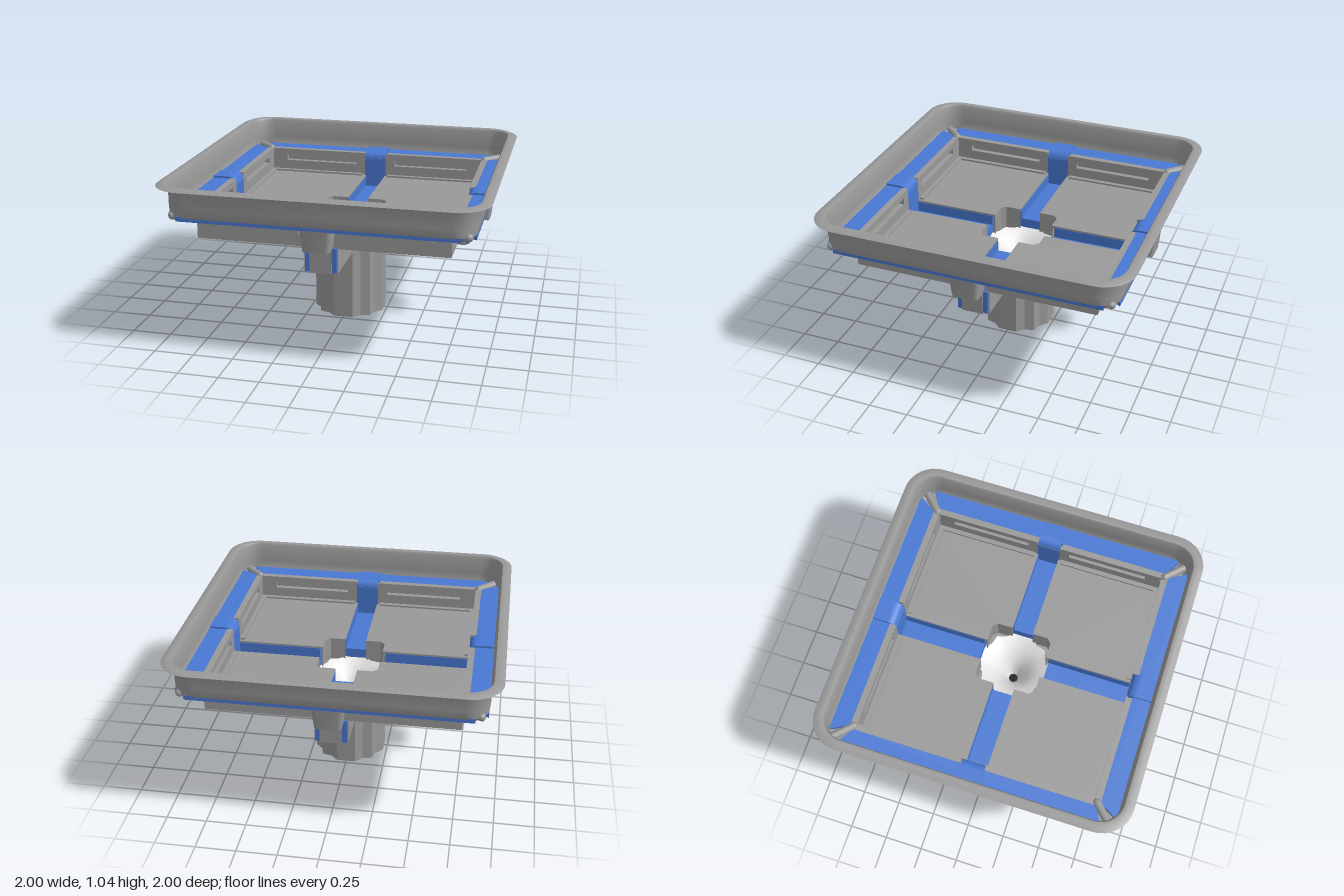
import * as THREE from 'three';
import { toCreasedNormals } from 'three/addons/utils/BufferGeometryUtils.js';

const mat = (name, color) => {
  const m = new THREE.MeshStandardMaterial({ color, side: THREE.DoubleSide });
  m.name = name;
  return m;
};

// Rounded square outline as [x, z] points
function roundedSquare(half, r) {
  const pts = [];
  for (let c = 0; c < 4; c++) {
    const a0 = c * Math.PI / 2;
    const cx = (half - r) * (c === 0 || c === 3 ? 1 : -1);
    const cz = (half - r) * (c < 2 ? 1 : -1);
    for (let i = 0; i <= 8; i++) {
      const a = a0 + i / 8 * Math.PI / 2;
      pts.push([cx + r * Math.cos(a), cz + r * Math.sin(a)]);
    }
  }
  return pts;
}

// Twelve-sided fluted outline: flat toward each channel, hollow in between
function fluted(r, hollow = 0.9) {
  const pts = [];
  for (let i = 0; i < 12; i++) {
    const a = (i + 0.5) * Math.PI / 6, mid = a + Math.PI / 12;
    pts.push([r * Math.cos(a), r * Math.sin(a)]);
    const k = (i + 1) % 3 === 0 ? Math.cos(Math.PI / 12) : hollow;
    pts.push([r * k * Math.cos(mid), r * k * Math.sin(mid)]);
  }
  return pts;
}

// Skin through a stack of closed outlines: [{ pts, y }]
function loft(rings, crease = 0.6) {
  const n = rings[0].pts.length, pos = [], idx = [];
  for (const { pts, y } of rings) for (const [x, z] of pts) pos.push(x, y, z);
  for (let j = 0; j < rings.length - 1; j++) for (let i = 0; i < n; i++) {
    const a = j * n + i, b = j * n + (i + 1) % n;
    idx.push(a, b, a + n, b, b + n, a + n);
  }
  const g = new THREE.BufferGeometry();
  g.setAttribute('position', new THREE.Float32BufferAttribute(pos, 3));
  g.setIndex(idx);
  return toCreasedNormals(g, crease);
}

const shapeOf = pts => new THREE.Shape(pts.map(p => new THREE.Vector2(p[0], p[1])));
const extrude = (shape, depth) => new THREE.ExtrudeGeometry(shape, { depth, bevelEnabled: false, curveSegments: 10 });
// Horizontal slab from an [x, z] outline, hanging down from yTop
const slab = (pts, yTop, depth) => extrude(shapeOf(pts), depth).rotateX(Math.PI / 2).translate(0, yTop, 0);
const rect = (x0, y0, x1, y1) => [[x0, y0], [x1, y0], [x1, y1], [x0, y1]];
const box = (x0, y0, z0, x1, y1, z1) => new THREE.BoxGeometry(x1 - x0, y1 - y0, z1 - z0)
  .translate((x0 + x1) / 2, (y0 + y1) / 2, (z0 + z1) / 2);

export function createModel() {
  const root = new THREE.Group();
  const gray = mat('gray shell', 0x999999);
  const blue = mat('blue channel', 0x4878d2);
  const white = mat('pale funnel', 0xe4e4e4);
  const black = mat('black opening', 0x060606);
  const add = (parent, name, geo, m) => {
    const mesh = new THREE.Mesh(geo, m);
    mesh.name = name;
    parent.add(mesh);
    return mesh;
  };

  // Tray rim, outer wall and ledge
  const profile = [[1, 1.022, 0.2], [0.965, 1.037, 0.17], [0.94, 1.033, 0.15], [0.93, 1.015, 0.14],
    [0.93, 0.9, 0.14], [0.925, 0.845, 0.13], [0.905, 0.82, 0.11], [0.765, 0.82, 0.02]];
  add(root, 'trayWall', loft(profile.map(([h, y, r]) => ({ pts: roundedSquare(h, r), y }))), gray);

  // Central drain column, collar and funnel
  add(root, 'drainColumn', loft([{ pts: fluted(0.235), y: 0 }, { pts: fluted(0.235), y: 0.55 }], 0.2), gray);
  add(root, 'drainBottom', slab(fluted(0.23), 0.008, 0.005), black);
  const collar = shapeOf(fluted(0.285, 0.93));
  collar.holes.push(new THREE.Path(fluted(0.225).map(p => new THREE.Vector2(p[0], p[1]))));
  add(root, 'drainCollar', extrude(collar, 0.015).rotateX(Math.PI / 2).translate(0, 0.53, 0), gray);
  const funnel = [[0.235, 0.55, 0.9], [0.17, 0.52, 0.94], [0.1, 0.46, 0.97], [0.055, 0.38, 0.98], [0.028, 0.3, 0.98]];
  add(root, 'drainFunnel', loft(funnel.map(([r, y, k]) => ({ pts: fluted(r, k), y })), 1), white);
  add(root, 'drainHole', new THREE.CircleGeometry(0.03, 16).rotateX(-Math.PI / 2).translate(0, 0.305, 0), black);

  // Four identical sectors, each with a channel along +z and a basin toward +x +z
  for (let k = 0; k < 4; k++) {
    const sector = new THREE.Group();
    sector.name = 'sector' + (k + 1);
    sector.rotation.y = k * Math.PI / 2;
    root.add(sector);

    // Channel on the ledge
    add(sector, 'ledgeChannel', slab([[-0.85, 0.923], [0.85, 0.923], [0.78, 0.805], [-0.78, 0.805]], 0.85, 0.028), blue);

    // Curved spill from ledge down to the cross channel
    const s = new THREE.Shape();
    s.moveTo(0.922, 0.825);
    s.lineTo(0.922, 0.862);
    s.lineTo(0.83, 0.862);
    s.quadraticCurveTo(0.765, 0.862, 0.765, 0.8);
    s.lineTo(0.765, 0.6);
    s.lineTo(0.785, 0.6);
    s.lineTo(0.785, 0.825);
    add(sector, 'channelSpill', extrude(s, 0.15).rotateY(-Math.PI / 2).translate(0.075, 0, 0), blue);

    // Cross channel with U section, and its gray jacket
    const u = shapeOf([[-0.097, 0.525], [0.097, 0.525], [0.097, 0.678], [0.068, 0.678],
      [0.068, 0.61], [-0.068, 0.61], [-0.068, 0.678], [-0.097, 0.678]]);
    add(sector, 'crossChannel', extrude(u, 0.57).translate(0, 0, 0.22), blue);
    add(sector, 'channelUnderside', box(-0.1, 0.52, 0.2, 0.1, 0.525, 0.78), gray);
    add(sector, 'channelEndPlate', box(-0.068, 0.52, 0.785, 0.068, 0.69, 0.796), gray);
    add(sector, 'spillHousing', loft([0.69, 0.75, 0.825].map((y, i) => ({
      y, pts: roundedSquare(0.075 + i * 0.006, 0.025).map(([x, z]) => [x * 1.08, 0.853 + z * 0.84])
    }))), gray);
    add(sector, 'spillHousingBottom', box(-0.075, 0.688, 0.795, 0.075, 0.695, 0.912), gray);

    for (const side of [-1, 1]) {
      add(sector, 'channelJacket', box(side * 0.1 - 0.003, 0.52, 0.2, side * 0.1 + 0.003, 0.688, 0.775), gray);

      // Basin wall with a long recess
      const [a, b] = side > 0 ? [0.075, 0.77] : [-0.77, -0.075];
      const [c, d] = side > 0 ? [0.13, 0.67] : [-0.67, -0.13];
      const hole = () => new THREE.Path(rect(c + 0.01, 0.767, d - 0.01, 0.808).map(p => new THREE.Vector2(...p)));
      const wall = shapeOf(rect(a, 0.675, b, 0.848));
      wall.holes.push(hole());
      add(sector, 'basinWall', extrude(wall, 0.01).translate(0, 0, 0.765), gray);
      const frame = shapeOf(rect(c, 0.757, d, 0.819));
      frame.holes.push(hole());
      add(sector, 'recessFrame', extrude(frame, 0.03).translate(0, 0, 0.772), gray);
      add(sector, 'recessBack', box(c, 0.757, 0.8, d, 0.819, 0.807), gray);
      // Rail between basin and ledge channel
      add(sector, 'basinRail', box(a, 0.82, 0.765, b + side * 0.01, 0.852, 0.805), gray);
    }

    // Basin floor, notched around the drain
    add(sector, 'basinFloor', slab([[0.07, 0.77], [0.77, 0.77], [0.77, 0.07], [0.2, 0.07],
      [0.2, 0.17], [0.17, 0.2], [0.07, 0.2]], 0.69, 0.015), gray);
    // Raised foot of the basin walls
    add(sector, 'basinFoot', slab([[0.09, 0.768], [0.768, 0.768], [0.768, 0.09], [0.735, 0.09],
      [0.735, 0.735], [0.09, 0.735]], 0.702, 0.014), gray);
    // Drain well corner
    add(sector, 'drainWell', slab([[0.2, 0.07], [0.2, 0.17], [0.17, 0.2], [0.07, 0.2],
      [0.07, 0.207], [0.173, 0.207], [0.207, 0.173], [0.207, 0.07]], 0.688, 0.168), gray);
    // Diagonal corner rib
    const rib = add(sector, 'cornerRib', new THREE.CapsuleGeometry(0.026, 0.14, 4, 10).rotateX(Math.PI / 2), gray);
    rib.position.set(0.833, 0.845, 0.833);
    rib.rotation.y = Math.PI / 4;
  }
  return root;
}
